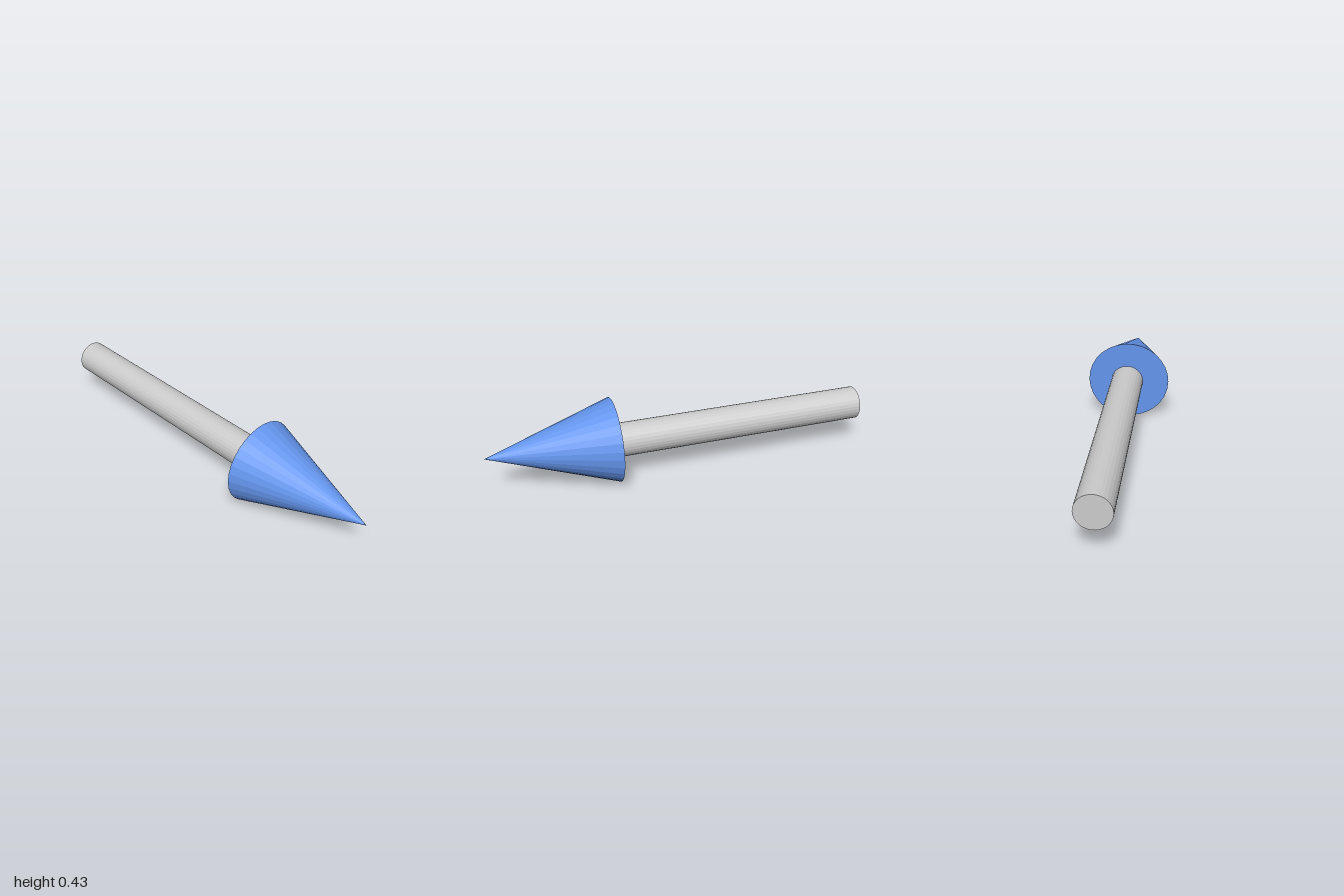
import * as THREE from 'three';

const SIDES = 30;

// Cylinder along +x whose end centres are the points a and b
function rod(name, color, a, b, ra, rb, scaleY = 1) {
  const geo = new THREE.CylinderGeometry(rb, ra, 1, SIDES, 1);
  geo.rotateZ(-Math.PI / 2).scale(b[0] - a[0], scaleY, 1).translate((a[0] + b[0]) / 2, 0, 0);
  // slide each cross-section onto the line from a to b
  const pos = geo.attributes.position;
  for (let i = 0; i < pos.count; i++) {
    const t = (pos.getX(i) - a[0]) / (b[0] - a[0]);
    pos.setY(i, pos.getY(i) + THREE.MathUtils.lerp(a[1], b[1], t));
    pos.setZ(i, pos.getZ(i) + THREE.MathUtils.lerp(a[2], b[2], t));
  }
  geo.computeVertexNormals();
  const mesh = new THREE.Mesh(geo, new THREE.MeshStandardMaterial({ color, flatShading: true }));
  mesh.name = name;
  return mesh;
}

export function createModel() {
  const group = new THREE.Group();
  group.name = 'arrow';
  // slightly off-axis shaft
  group.add(rod('shaft', 0xcccccc, [-1, 0.223, -0.018], [0.35, 0.213, -0.008], 0.087, 0.087));
  // pointed head with a closed base
  group.add(rod('arrowHead', 0x6495ed, [0.347, 0.216, 0], [1, 0.22, 0], 0.222, 0, 0.978));
  return group;
}
